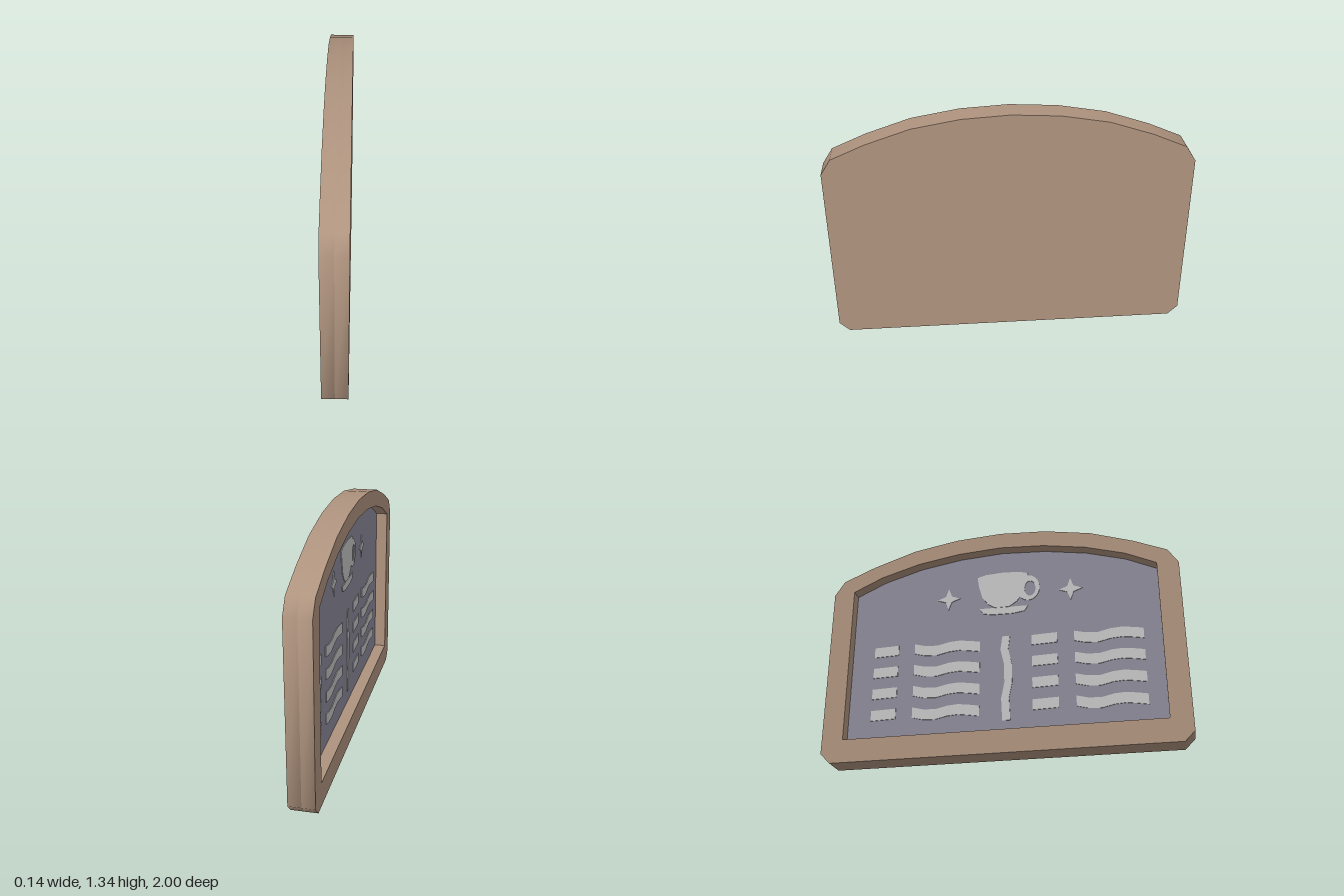
import * as THREE from 'three';
import { toCreasedNormals } from 'three/addons/utils/BufferGeometryUtils.js';

const wood = new THREE.MeshStandardMaterial({ name: 'wood', color: 0xae937e });
const slate = new THREE.MeshStandardMaterial({ name: 'slate', color: 0x8d8a99 });
const chalk = new THREE.MeshStandardMaterial({ name: 'chalk', color: 0xc4c5c4 });

const points = (list) => list.map(([z, y]) => new THREE.Vector2(z, y));

// Closes a right-hand profile (bottom to top centre) with its mirror image
function mirrored(half) {
  const left = half.filter(([z]) => z > 0).reverse().map(([z, y]) => [-z, y]);
  return points([...half, ...left]);
}

// Extrudes a (z, y) outline from the plane x = from towards -x
function plate(name, outline, material, from, depth, hole) {
  const shape = new THREE.Shape(outline);
  if (hole) shape.holes.push(new THREE.Path(hole));
  const extruded = new THREE.ExtrudeGeometry(shape, { depth, bevelEnabled: false });
  extruded.rotateY(-Math.PI / 2).translate(from, 0, 0);
  const mesh = new THREE.Mesh(toCreasedNormals(extruded, 1.05), material);
  mesh.name = name;
  return mesh;
}

const drawing = (name, outline, hole) => plate(name, outline, chalk, -0.003, 0.004, hole);

// A stroke of constant height following a list of (z, y) centres
function stroke(name, centres, dz, dy) {
  const up = centres.map(([z, y]) => [z + dz, y + dy]);
  const down = centres.map(([z, y]) => [z - dz, y - dy]).reverse();
  return drawing(name, points([...down, ...up]));
}

function ellipse(z, y, rz, ry) {
  return new THREE.EllipseCurve(z, y, rz, ry, 0, Math.PI * 2).getPoints(20).slice(0, -1);
}

function star(z, y) {
  const list = [];
  for (let i = 0; i < 8; i++) {
    const r = i % 2 ? 0.026 : 0.068;
    const a = (i * Math.PI) / 4;
    list.push([z + r * Math.cos(a), y + r * Math.sin(a)]);
  }
  return drawing('star', points(list));
}

export function createModel() {
  const model = new THREE.Group();
  model.name = 'menuBoard';

  // Wooden back slab and front frame share one arched outline
  const outline = mirrored([
    [0.945, 0], [1, 0.055], [1, 1.03], [0.945, 1.115],
    [0.76, 1.195], [0.52, 1.275], [0.26, 1.32], [0, 1.335],
  ]);
  const opening = mirrored([
    [0.88, 0.13], [0.88, 1.04], [0.71, 1.12], [0.49, 1.185], [0.25, 1.225], [0, 1.24],
  ]);
  model.add(plate('backSlab', outline, wood, 0.07, 0.07));
  model.add(plate('frame', outline, wood, 0, 0.07, opening));

  // Slate panel at the bottom of the recess
  model.add(plate('slatePanel', opening, slate, 0, 0.003));

  // Two columns of chalk lines, each a short dash and a long wavy stroke
  const lines = new THREE.Group();
  lines.name = 'chalkLines';
  for (const start of [-0.75, 0.163]) {
    for (let row = 0; row < 4; row++) {
      const y = 0.663 - row * 0.128;
      lines.add(stroke('shortDash', [[start, y], [start + 0.143, y + 0.004]], 0, 0.03));
      const wave = [[0.238, 0.004], [0.3, -0.012], [0.37, -0.016], [0.44, 0], [0.5, 0.004], [0.56, -0.004], [0.618, -0.014]];
      lines.add(stroke('longStroke', wave.map(([z, dy]) => [start + z, y + dy]), 0, 0.03));
    }
  }
  // Upright divider between the columns
  const bends = [[0.018, 0.7], [0.008, 0.62], [0.028, 0.53], [0.03, 0.42], [0.012, 0.33], [0.018, 0.2]];
  lines.add(stroke('divider', bends, 0.022, 0));
  model.add(lines);

  // Chalk cup with handle and saucer
  const cup = new THREE.Group();
  cup.name = 'cupDrawing';
  cup.add(drawing('cupBody', points([
    [-0.15, 1.09], [-0.142, 1.03], [-0.12, 0.955], [-0.085, 0.91], [-0.045, 0.885],
    [0.035, 0.885], [0.08, 0.915], [0.115, 0.96], [0.137, 1.03], [0.147, 1.09],
    [0.1, 1.104], [0, 1.11], [-0.1, 1.104],
  ])));
  cup.add(drawing('cupHandle', ellipse(0.148, 0.995, 0.066, 0.08), ellipse(0.158, 0.99, 0.032, 0.048)));
  cup.add(drawing('saucer', points([
    [-0.135, 0.885], [-0.115, 0.852], [-0.06, 0.842], [0.06, 0.84], [0.125, 0.85], [0.145, 0.882],
  ])));
  model.add(cup);

  // Sparkles either side of the cup
  model.add(star(-0.32, 0.966), star(0.39, 0.962));
  return model;
}
